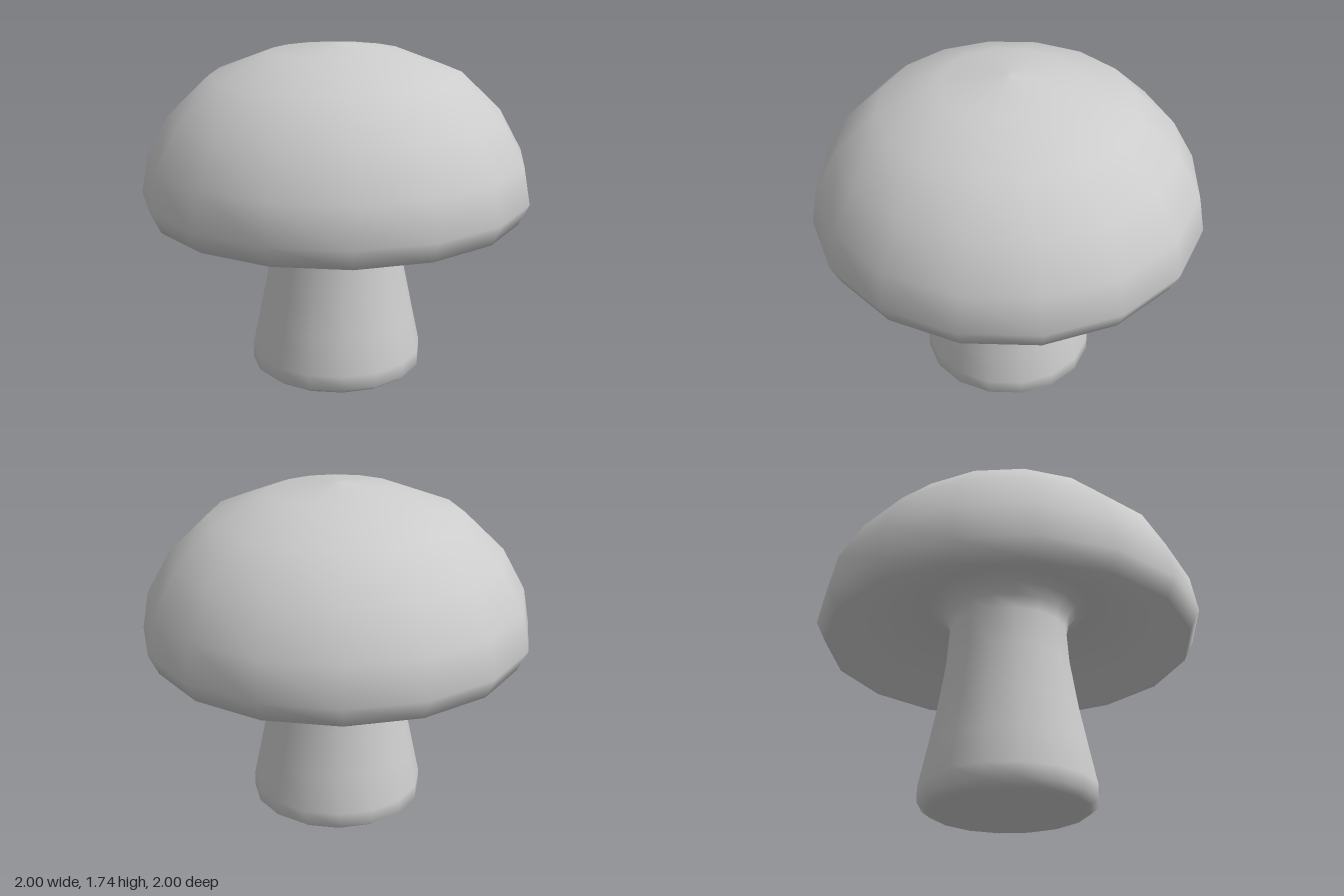
import * as THREE from 'three';

const SIDES = 16;

// Smooth turned surface; the profile runs so that its faces point outward
function turned(name, profile, material) {
  const points = profile.map(([r, y]) => new THREE.Vector2(r, y));
  const mesh = new THREE.Mesh(new THREE.LatheGeometry(points, SIDES), material);
  mesh.name = name;
  return mesh;
}

export function createModel() {
  const grey = new THREE.MeshStandardMaterial({ color: 0xcccccc });
  grey.name = 'pale grey';

  const model = new THREE.Group();
  model.name = 'mushroom';

  // Stem: flat foot, tapering shaft, flare into the underside of the cap
  model.add(turned('stem', [
    [0, 0], [0.37, 0.005], [0.41, 0.015], [0.45, 0.045], [0.45, 0.12],
    [0.41, 0.31], [0.365, 0.53], [0.325, 0.78], [0.31, 0.98],
    [0.325, 1.05], [0.37, 1.1], [0.42, 1.12],
  ], grey));

  // Cap: hollow underside, rim, then the dome up to the crown
  model.add(turned('cap', [
    [0.36, 1.115], [0.42, 1.12], [0.56, 1.1], [0.74, 1.02], [0.88, 0.92], [0.95, 0.88],
    [1, 0.985], [0.965, 1.175], [0.845, 1.39], [0.64, 1.585],
    [0.34, 1.7], [0.01, 1.74], [0, 1.74],
  ], grey));

  return model;
}
